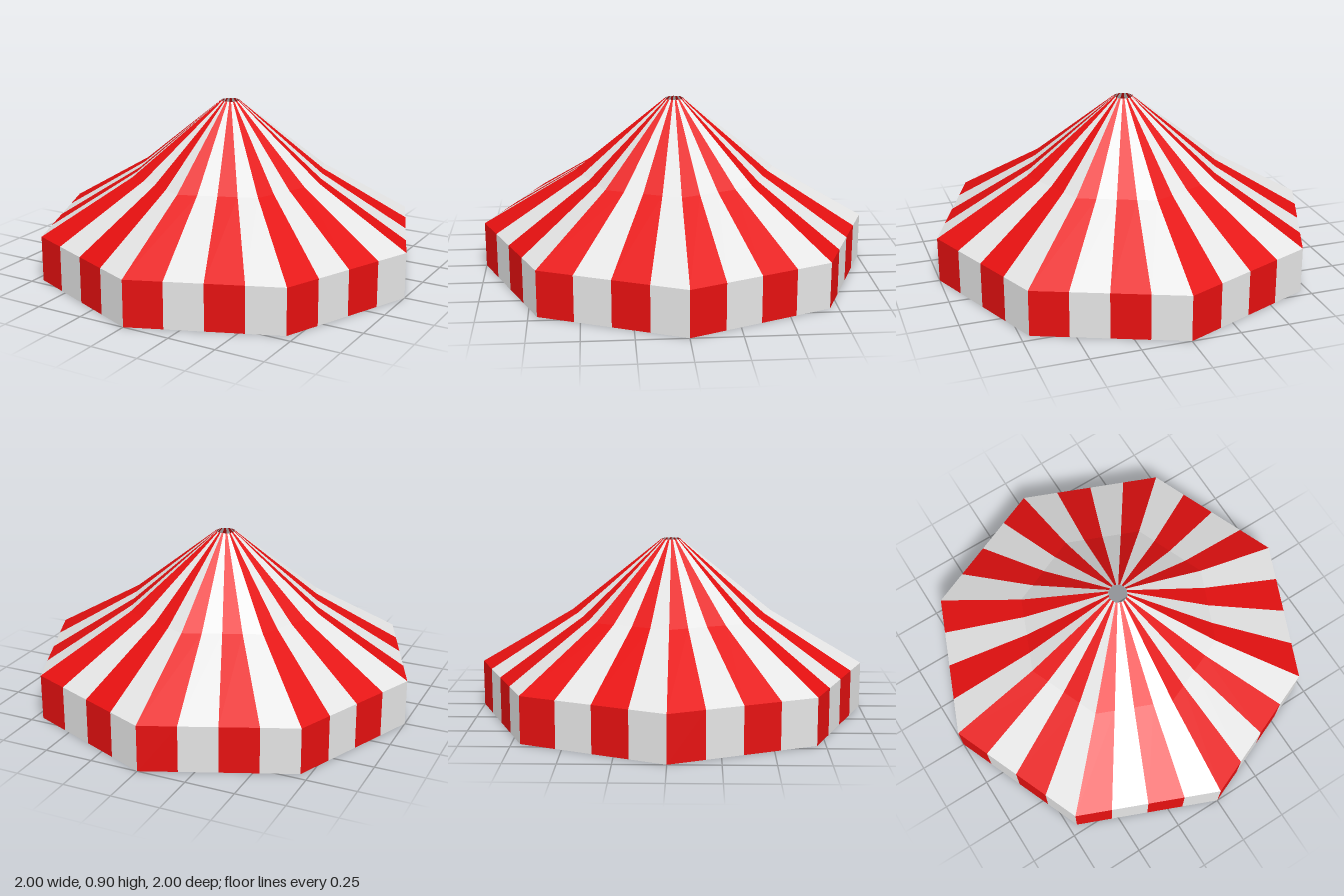
import * as THREE from 'three';

const SIDES = 8, STRIPES = 4;

// Point on an octagon edge: t runs 0..1 from one corner to the next (front corner first, towards +x)
function edgePoint(side, t, radius, y) {
  const corner = (i) => {
    const a = (i / SIDES) * Math.PI * 2;
    return new THREE.Vector3(Math.sin(a) * radius, y, Math.cos(a) * radius);
  };
  return corner(side).lerp(corner(side + 1), t);
}

// All stripes of one colour on a band between two octagonal rings
function stripedBand(name, lower, upper, parity, material) {
  const positions = [];
  for (let side = 0; side < SIDES; side++) {
    for (let s = parity; s < STRIPES; s += 2) {
      const t0 = s / STRIPES, t1 = (s + 1) / STRIPES;
      const a = edgePoint(side, t0, ...lower), b = edgePoint(side, t1, ...lower);
      const c = edgePoint(side, t1, ...upper), d = edgePoint(side, t0, ...upper);
      for (const p of [a, b, c, a, c, d]) positions.push(p.x, p.y, p.z);
    }
  }
  const geometry = new THREE.BufferGeometry();
  geometry.setAttribute('position', new THREE.Float32BufferAttribute(positions, 3));
  geometry.computeVertexNormals();
  const mesh = new THREE.Mesh(geometry, material);
  mesh.name = name;
  return mesh;
}

export function createModel() {
  const model = new THREE.Group();
  model.name = 'tentCanopy';

  const red = new THREE.MeshStandardMaterial({ color: 0xe51010, side: THREE.DoubleSide });
  red.name = 'red canvas';
  const white = new THREE.MeshStandardMaterial({ color: 0xe4e4e4, side: THREE.DoubleSide });
  white.name = 'white canvas';

  // Rings as [radius, height], from the hem to the open peak
  const hem = [1, 0], eave = [1, 0.237], bend = [0.52, 0.52], peak = [0.05, 0.896];
  const bands = [
    ['valance', hem, eave],
    ['lowerRoof', eave, bend],
    ['upperRoof', bend, peak],
  ];
  for (const [name, lower, upper] of bands) {
    const band = new THREE.Group();
    band.name = name;
    band.add(stripedBand(name + 'RedStripes', lower, upper, 0, red));
    band.add(stripedBand(name + 'WhiteStripes', lower, upper, 1, white));
    model.add(band);
  }
  return model;
}
